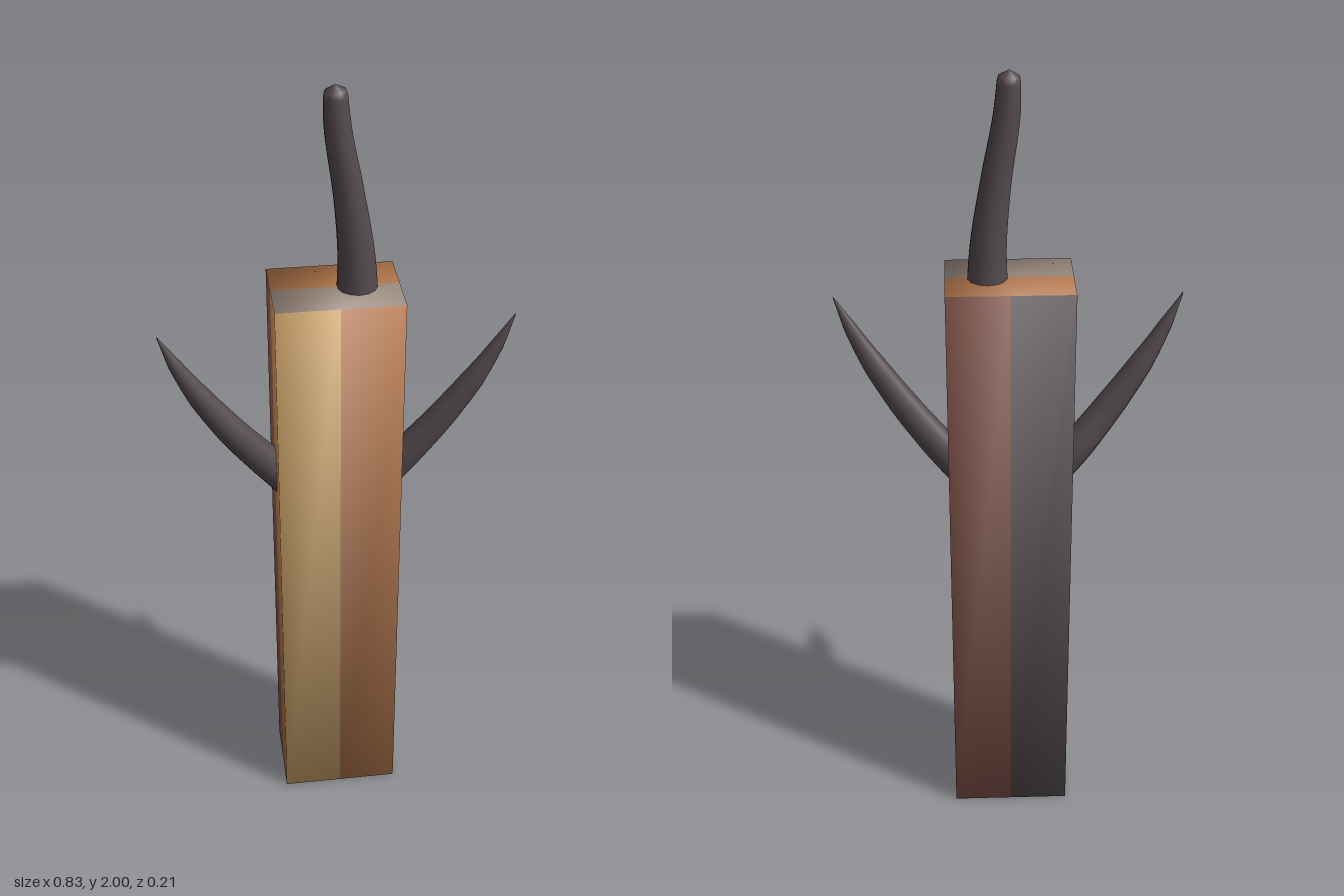
import * as THREE from 'three';
import { mergeVertices } from 'three/addons/utils/BufferGeometryUtils.js';

const mat = (name, color) => {
  const m = new THREE.MeshStandardMaterial({ color });
  m.name = name;
  return m;
};

// Tapered, gently bent spike: spine points plus [position along spine, radius] keys
function spikeGeometry(points, keys, flattenZ = 1) {
  const curve = new THREE.CatmullRomCurve3(points.map((p) => new THREE.Vector3(...p)));
  const segs = 40, sides = 14;
  let geo = new THREE.TubeGeometry(curve, segs, 1, sides, false);
  const pos = geo.attributes.position, v = new THREE.Vector3();
  for (let i = 0; i <= segs; i++) {
    const u = i / segs;
    let k = 0;
    while (k < keys.length - 2 && u > keys[k + 1][0]) k++;
    const [u0, r0] = keys[k], [u1, r1] = keys[k + 1];
    const r = THREE.MathUtils.lerp(r0, r1, (u - u0) / (u1 - u0));
    const c = curve.getPointAt(u);
    for (let j = 0; j <= sides; j++) {
      const n = i * (sides + 1) + j;
      v.fromBufferAttribute(pos, n).sub(c).multiplyScalar(r);
      v.z *= flattenZ;
      v.add(c);
      pos.setXYZ(n, v.x, Math.min(v.y, 2), v.z);
    }
  }
  geo.deleteAttribute('uv');
  geo.deleteAttribute('normal');
  geo = mergeVertices(geo, 1e-5);
  geo.computeVertexNormals();
  return geo;
}

// Square post with two colour panels on every face and softly blended corner normals
function postGeometry(w, h, d) {
  const geo = new THREE.BoxGeometry(w, h, d, 2, 1, 2);
  const pos = geo.attributes.position, nor = geo.attributes.normal;
  const n = new THREE.Vector3();
  const sign = (a) => (Math.abs(a) < 1e-6 ? 0 : Math.sign(a));
  for (let i = 0; i < pos.count; i++) {
    n.set(sign(pos.getX(i)), sign(pos.getY(i)), sign(pos.getZ(i))).normalize();
    nor.setXYZ(i, n.x, n.y, n.z);
  }
  // Material per cell: tan 0, orange 1, maroon 2, charcoal 3, taupe 4
  const cells = [
    1, 2,        // left side: front, back
    2, 1,        // right side: back, front
    1, 1, 4, 4,  // top: back, front
    4, 4, 1, 1,  // underside: front, back
    0, 1,        // front
    2, 3,        // back
  ];
  geo.clearGroups();
  cells.forEach((m, i) => geo.addGroup(i * 6, 6, m));
  return geo;
}

export function createModel() {
  const tan = mat('tan', 0xd2a86c);
  const orange = mat('orangeBrown', 0xb2764b);
  const maroon = mat('maroon', 0x85564b);
  const charcoal = mat('charcoal', 0x544a4e);
  const taupe = mat('taupe', 0x94857a);

  const model = new THREE.Group();
  model.name = 'post';
  const add = (name, geo, material) => {
    const mesh = new THREE.Mesh(geo, material);
    mesh.name = name;
    model.add(mesh);
    return mesh;
  };

  // Post
  const h = 1.515;
  add('body', postGeometry(0.3, h, 0.21), [tan, orange, maroon, charcoal, taupe])
    .position.y = h / 2;

  // Blunt horn on top, leaning towards the right as it rises
  add('topHorn', spikeGeometry(
    [[0.052, 1.47, 0], [0.048, 1.6, 0], [0.03, 1.75, 0], [0.006, 1.9, 0], [0, 2, 0]],
    [[0, 0.05], [0.2, 0.044], [0.5, 0.036], [0.85, 0.03], [0.95, 0.027], [0.985, 0.023], [1, 0.001]],
  ), charcoal);

  // Pointed side branches
  for (const [name, s, z] of [['leftBranch', 1, 0.025], ['rightBranch', -1, 0.018]]) {
    add(name, spikeGeometry(
      [[s * 0.1, 0.965, z - 0.004], [s * 0.16, 1.04, z], [s * 0.245, 1.15, 0.035],
        [s * 0.325, 1.27, 0.046], [s * 0.375, 1.36, 0.052], [s * 0.415, 1.445, 0.055]],
      [[0, 0.042], [0.2, 0.042], [0.45, 0.036], [0.65, 0.029], [0.85, 0.016], [1, 0.001]],
      s > 0 ? 0.8 : 0.92,
    ), charcoal);
  }
  return model;
}
